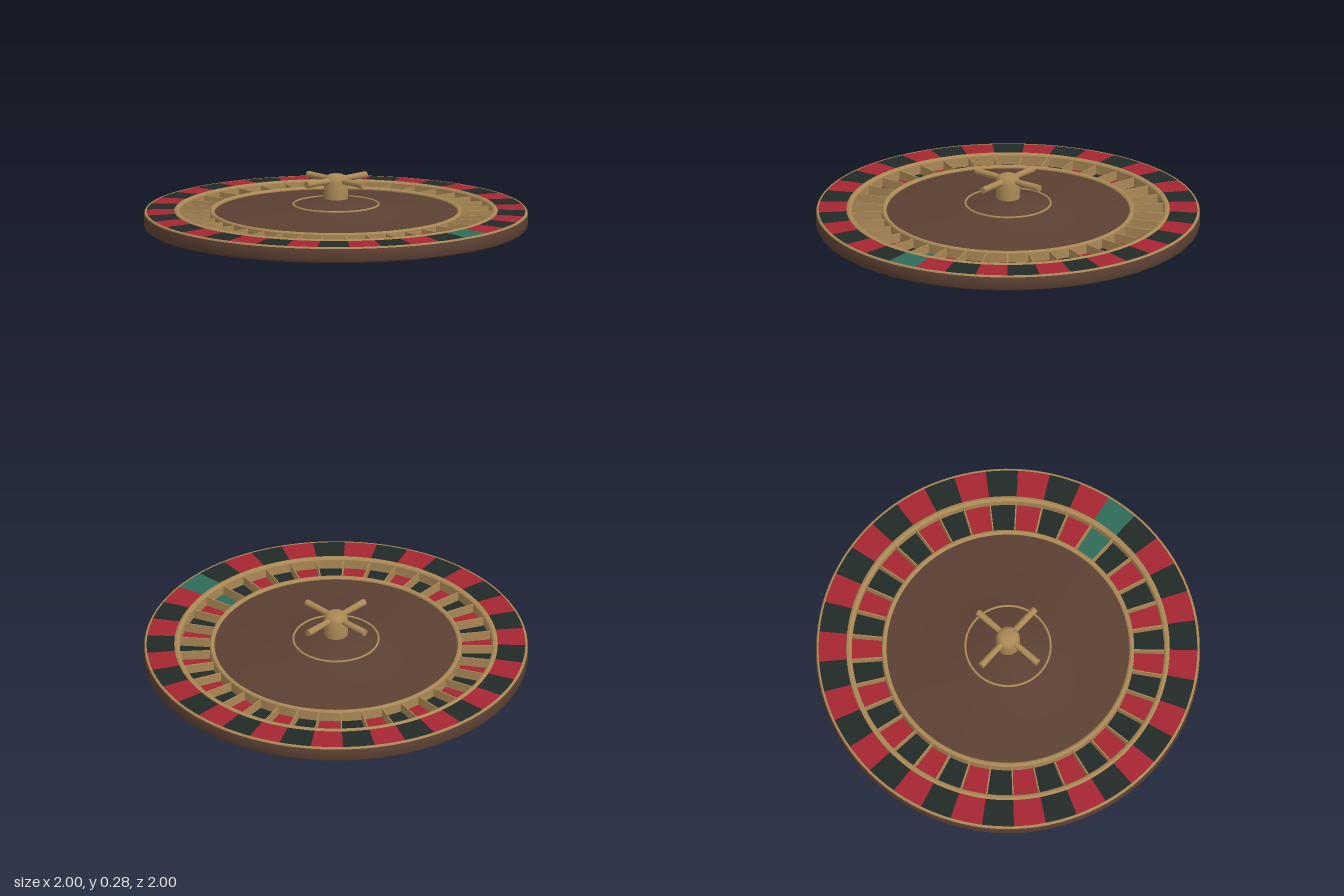
import * as THREE from 'three';
import { toCreasedNormals } from 'three/addons/utils/BufferGeometryUtils.js';

const SECTORS = 37;
const STEP = (Math.PI * 2) / SECTORS;

const mat = (color) => new THREE.MeshStandardMaterial({ color });

export function createModel() {
  const group = new THREE.Group();
  const wood = mat(0x5c4033), gold = mat(0xaa8855);
  const red = mat(0xa52632), black = mat(0x222a28), green = mat(0x2e6b58);

  const add = (name, geometry, material, parent = group) => {
    const mesh = new THREE.Mesh(geometry, material);
    mesh.name = name;
    parent.add(mesh);
    return mesh;
  };

  // Surface of revolution; profiles run outer to inner so tops face up
  const turn = (points, segments = 111, start = 0, length = Math.PI * 2) =>
    toCreasedNormals(new THREE.LatheGeometry(
      points.map(([r, y]) => new THREE.Vector2(r, y)), segments, start, length), 0.6);

  // Wooden dish with a sunken pocket channel
  add('dish', turn([
    [0, 0], [0.985, 0], [0.996, 0.008], [1, 0.02], [1, 0.07], [0.997, 0.078],
    [0.985, 0.081], [0.83, 0.086], [0.82, 0.086], [0.82, 0.03], [0.65, 0.03],
  ]), wood);

  // Shallow central cone rising to the hub
  add('cone', turn([
    [0.637, 0.079], [0.45, 0.096], [0.225, 0.12], [0.2, 0.127],
    [0.13, 0.143], [0.08, 0.153], [0, 0.155],
  ]), wood);

  // Gold rims, the middle two also lining the pocket walls
  add('edgeTrim', turn([[0.998, 0.077], [0.994, 0.084], [0.986, 0.085], [0.983, 0.08]]), gold);
  add('outerPocketRim', turn([
    [0.845, 0.084], [0.84, 0.092], [0.829, 0.096], [0.818, 0.092],
    [0.813, 0.085], [0.813, 0.03],
  ]), gold);
  add('innerPocketRim', turn([
    [0.657, 0.03], [0.657, 0.085], [0.652, 0.092], [0.645, 0.094],
    [0.638, 0.092], [0.632, 0.085], [0.632, 0.076],
  ]), gold);

  // Coloured sectors: outer band, pocket floor and a divider for each
  const band = new THREE.Group(), pockets = new THREE.Group(), dividers = new THREE.Group();
  band.name = 'colourBand';
  pockets.name = 'pocketFloors';
  dividers.name = 'pocketDividers';
  group.add(band, pockets, dividers);
  const dividerGeometry = new THREE.BoxGeometry(0.158, 0.052, 0.006);
  for (let i = 0; i < SECTORS; i++) {
    const color = i === 0 ? green : i % 2 ? red : black;
    const start = i * STEP + Math.PI / 2;
    add('bandSector', turn([[0.986, 0.084], [0.842, 0.089]], 4, start, STEP), color, band);
    add('pocketFloor', turn([[0.815, 0.033], [0.655, 0.033]], 4, start, STEP), color, pockets);
    const divider = add('pocketDivider', dividerGeometry, gold, dividers);
    const a = i * STEP;
    divider.position.set(0.735 * Math.cos(a), 0.057, -0.735 * Math.sin(a));
    divider.rotation.y = a;
  }

  // Thin ring laid on the cone
  const ring = add('coneRing', new THREE.TorusGeometry(0.222, 0.006, 10, 96), gold);
  ring.rotation.x = Math.PI / 2;
  ring.position.y = 0.122;

  // Turret post with a rounded cap
  add('turretPost', turn([
    [0.062, 0.145], [0.062, 0.245], [0.057, 0.262], [0.047, 0.275], [0.035, 0.28], [0, 0.281],
  ], 32), gold);

  // Four handles, slightly thicker at the tip
  const handleGeometry = new THREE.CylinderGeometry(0.018, 0.015, 0.19, 20);
  handleGeometry.rotateZ(-Math.PI / 2).translate(0.115, 0.251, 0);
  for (let i = 0; i < 4; i++) {
    add('turretHandle', handleGeometry, gold).rotation.y = (i * Math.PI) / 2;
  }

  return group;
}
